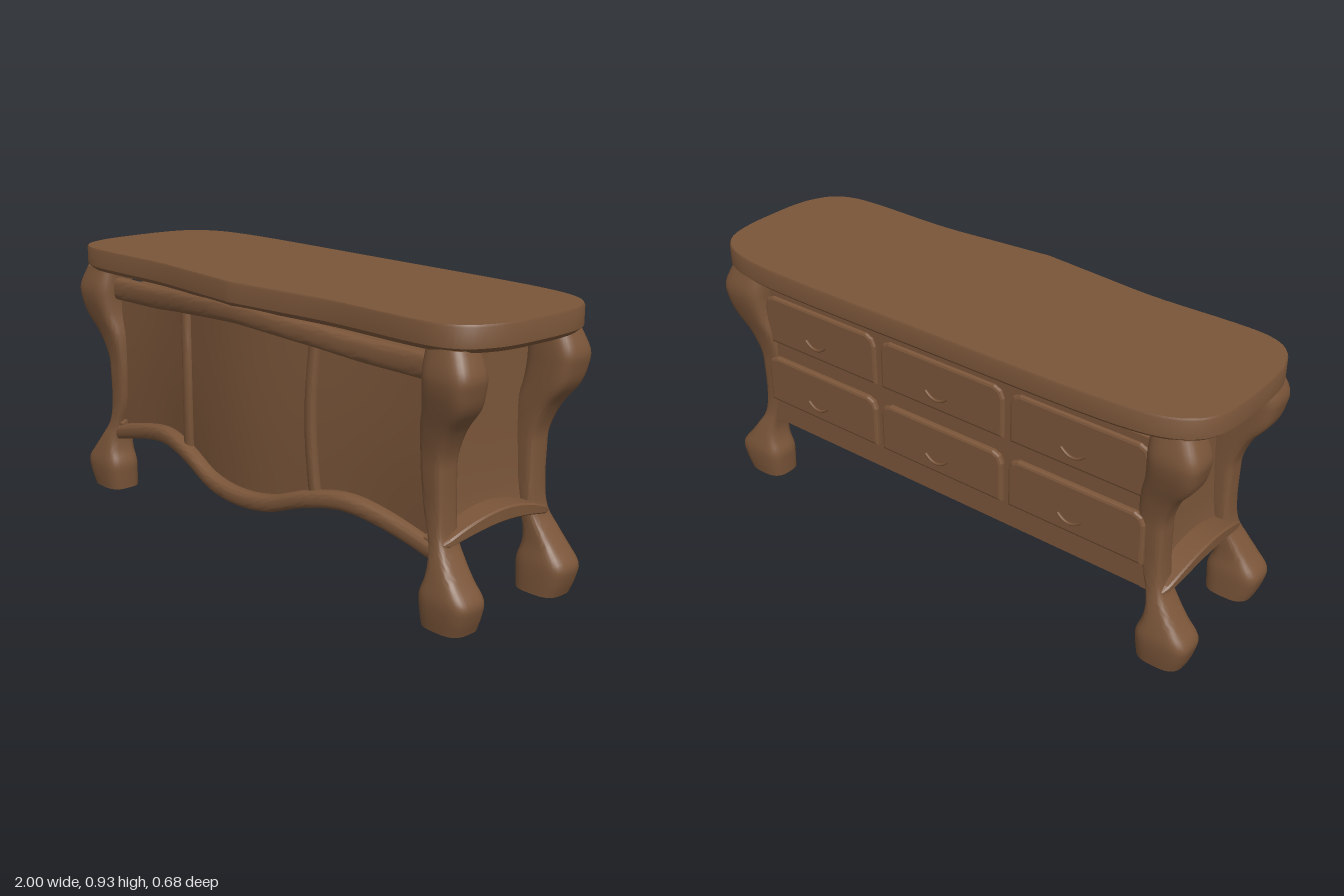
import * as THREE from 'three';
import { toCreasedNormals } from 'three/addons/utils/BufferGeometryUtils.js';

// Solid through a list of equal-length rings of [x, y, z], capped at both ends
function loft(rings, crease = 0.6) {
  const n = rings[0].length, pos = [];
  const tri = (a, b, c) => pos.push(...a, ...b, ...c);
  for (let i = 0; i < rings.length - 1; i++) {
    for (let j = 0; j < n; j++) {
      const k = (j + 1) % n, p = rings[i], q = rings[i + 1];
      tri(p[j], p[k], q[k]);
      tri(p[j], q[k], q[j]);
    }
  }
  const cap = (ring, flip) => {
    const c = [0, 1, 2].map(a => ring.reduce((s, p) => s + p[a], 0) / n);
    ring.forEach((p, j) => {
      const q = ring[(j + 1) % n];
      flip ? tri(c, q, p) : tri(c, p, q);
    });
  };
  cap(rings[0], true);
  cap(rings[rings.length - 1], false);
  // Turn the faces outward if the enclosed volume is negative
  const a = new THREE.Vector3(), b = new THREE.Vector3(), c = new THREE.Vector3();
  let volume = 0;
  for (let i = 0; i < pos.length; i += 9) {
    volume += a.fromArray(pos, i).dot(b.fromArray(pos, i + 3).cross(c.fromArray(pos, i + 6)));
  }
  if (volume < 0) {
    for (let i = 0; i < pos.length; i += 9) {
      for (let k = 3; k < 6; k++) [pos[i + k], pos[i + k + 3]] = [pos[i + k + 3], pos[i + k]];
    }
  }
  const g = new THREE.BufferGeometry();
  g.setAttribute('position', new THREE.Float32BufferAttribute(pos, 3));
  return toCreasedNormals(g, crease);
}

// Rounded-square section as [u, v] pairs
function roundSquare(hu, hv, power, count = 24) {
  return Array.from({ length: count }, (_, i) => {
    const t = (i / count) * Math.PI * 2, c = Math.cos(t), s = Math.sin(t);
    return [hu * Math.sign(c) * Math.abs(c) ** (2 / power), hv * Math.sign(s) * Math.abs(s) ** (2 / power)];
  });
}

const range = (a, b, n) => Array.from({ length: n + 1 }, (_, i) => a + (b - a) * i / n);
const bow = x => (1 + Math.cos(Math.PI * Math.min(Math.abs(x) / 0.8, 1))) / 2;

// Symmetric smooth curve through [x, y] points on the +x half
function wave(points) {
  const all = [...points.slice(1).reverse().map(([x, y]) => [-x, y]), ...points];
  return new THREE.SplineCurve(all.map(p => new THREE.Vector2(...p))).getPoints(60);
}

export function createModel() {
  const model = new THREE.Group();
  const wood = new THREE.MeshStandardMaterial({ color: 0x7a5539 });
  wood.name = 'brown wood';
  const add = (name, geometry, parent = model) => {
    const mesh = new THREE.Mesh(geometry, wood);
    mesh.name = name;
    parent.add(mesh);
    return mesh;
  };

  // Table top: rounded outline with a shallow point at the front centre
  const half = new THREE.SplineCurve([
    [0, 0.34], [0.22, 0.319], [0.45, 0.3], [0.74, 0.304], [0.87, 0.293], [0.945, 0.25], [0.985, 0.17], [0.998, 0.09],
    [1, 0], [0.998, -0.09], [0.985, -0.18], [0.95, -0.25], [0.87, -0.303], [0.74, -0.33], [0.5, -0.34], [0, -0.34],
  ].map(p => new THREE.Vector2(...p))).getPoints(64);
  const outline = [...half, ...half.slice(1, -1).reverse().map(p => new THREE.Vector2(-p.x, p.y))];
  add('tableTop', loft([[0.843, 0.015], [0.858, 0], [0.918, 0], [0.925, 0.003]].map(([y, inset]) =>
    outline.map(p => [p.x * (1 - inset), y, p.y * (1 - inset * 3)]))));

  // Legs: [y, outer x, inner x, outer z, inner z]
  const rows = [
    [0, 0.95, 0.79, 0.28, 0.15], [0.05, 0.968, 0.787, 0.287, 0.15], [0.1, 0.974, 0.787, 0.289, 0.152],
    [0.15, 0.935, 0.805, 0.279, 0.16], [0.2, 0.897, 0.811, 0.266, 0.162], [0.26, 0.86, 0.8, 0.25, 0.161],
    [0.34, 0.85, 0.775, 0.244, 0.16], [0.45, 0.848, 0.762, 0.248, 0.16], [0.52, 0.853, 0.76, 0.252, 0.16],
    [0.6, 0.888, 0.765, 0.266, 0.16], [0.67, 0.942, 0.783, 0.285, 0.16], [0.73, 0.962, 0.79, 0.299, 0.16],
    [0.78, 0.966, 0.79, 0.301, 0.16], [0.85, 0.935, 0.79, 0.284, 0.163],
  ];
  const sideX = new THREE.CatmullRomCurve3(rows.map(r => new THREE.Vector3(r[1], r[0], r[2])), false, 'catmullrom').getPoints(52);
  const sideZ = new THREE.CatmullRomCurve3(rows.map(r => new THREE.Vector3(r[3], r[0], r[4])), false, 'catmullrom').getPoints(52);
  for (const sx of [1, -1]) for (const sz of [1, -1]) {
    const name = (sz > 0 ? 'front' : 'back') + (sx > 0 ? 'Left' : 'Right') + 'Leg';
    add(name, loft(sideX.map((p, i) => {
      const q = sideZ[i], power = 3 + 1.4 * Math.sin(Math.PI * p.y / 0.85);
      return roundSquare((p.x - p.z) / 2, (q.x - q.z) / 2, power, 32)
        .map(([u, v]) => [sx * ((p.x + p.z) / 2 + u), p.y, sz * ((q.x + q.z) / 2 + v)]);
    }), 0.9));
  }

  // Wavy bottom apron and bowed top rail
  const apronLine = wave([[0, 0.195], [0.15, 0.21], [0.3, 0.26], [0.45, 0.287], [0.6, 0.271], [0.82, 0.22]]);
  const railLine = wave([[0, 0.819], [0.3, 0.803], [0.55, 0.781], [0.82, 0.773]]);
  const frontZ = x => 0.248 + 0.083 * bow(x);
  const band = (line, depth, height) => loft(line.map(p =>
    roundSquare(depth, height(p.x), 2.8).map(([u, v]) => [p.x, p.y + v, frontZ(p.x) - depth + u])), 0.9);
  add('bottomApron', band(apronLine, 0.03, () => 0.029));
  add('topRail', band(railLine, 0.026, x => 0.034 + 0.009 * Math.abs(x)));

  // Straight carcass, flaring a little towards its base
  add('carcass', loft([[0.25, 0.825], [0.3, 0.81], [0.36, 0.8], [0.5, 0.79], [0.79, 0.778]].map(([y, x]) => [
    [-x, y, -0.242], [x, y, -0.242], [x, y, 0.205], [-x, y, 0.205],
  ])));

  // Bowed front panel that follows the apron and rail
  const panelZ = x => 0.215 + 0.075 * bow(x) ** 1.4;
  const bulge = (x, t) => panelZ(x) + 0.008 * Math.sin(Math.PI * t);
  add('frontPanel', loft(apronLine.map((p, i) => {
    const y = t => p.y + (railLine[i].y - p.y) * t;
    return [...range(0, 1, 8).map(t => [p.x, y(t), bulge(p.x, t)]),
      [p.x, y(1), panelZ(p.x) - 0.02], [p.x, y(0), panelZ(p.x) - 0.02]];
  })));

  for (const s of [1, -1]) {
    // Upright bead dividing the front
    add('frontDivider', loft(range(0, 1, 16).map(t => {
      const x = s * (0.331 - 0.013 * Math.sin(Math.PI * t));
      return roundSquare(0.02, 0.019, 3, 16).map(([u, v]) => [x + u, 0.26 + 0.53 * t, bulge(x, t) + 0.003 + v]);
    }), 0.9));

    // Arched side stretcher, bowed outward, and the small rail under the top
    const side = s > 0 ? 'left' : 'right';
    add(side + 'Stretcher', loft(range(-0.237, 0.237, 24).map(z => {
      const k = Math.max(0, Math.cos(z / 0.237 * Math.PI / 2)), out = 0.862 + 0.026 * k ** 0.4;
      const low = 0.243 + 0.036 * k, high = 0.26 + 0.064 * k ** 0.8;
      return [[0.78, low], [out - 0.006, low], [out, low + 0.005], [out, high - 0.005], [out - 0.006, high], [0.78, high]]
        .map(([x, y]) => [s * x, y, z]);
    })));
    add(side + 'TopRail', loft(range(-0.19, 0.19, 16).map(z => {
      const low = 0.797 + 0.008 * Math.cos(z / 0.19 * Math.PI / 2);
      return [[0.8, low], [0.86, low], [0.86, 0.85], [0.8, 0.85]].map(([x, y]) => [s * x, y, z]);
    })));
  }

  // Back drawers: bevelled fronts with clipped upper corners and curved pulls
  const w = 0.246, h = 0.081, cut = 0.03;
  const face = new THREE.Shape([
    [-w, -h], [w, -h], [w, h - cut], [w - cut * 0.3, h - cut * 0.3], [w - cut, h],
    [-w + cut, h], [-w + cut * 0.3, h - cut * 0.3], [-w, h - cut],
  ].map(p => new THREE.Vector2(...p)));
  const drawerGeometry = new THREE.ExtrudeGeometry(face, {
    depth: 0.012, bevelEnabled: true, bevelThickness: 0.01, bevelSize: 0.01, bevelSegments: 2,
  });
  const pull = new THREE.QuadraticBezierCurve3(
    new THREE.Vector3(-0.045, 0.014, 0), new THREE.Vector3(0, -0.034, 0), new THREE.Vector3(0.045, 0.014, 0));
  const pullGeometry = new THREE.TubeGeometry(pull, 16, 0.005, 8);
  for (const [y, z] of [[0.435, -0.24], [0.675, -0.233]]) for (const x of [-0.538, 0, 0.538]) {
    const drawer = new THREE.Group();
    drawer.name = 'drawer';
    drawer.position.set(x, y, z);
    drawer.rotation.y = Math.PI;
    add('drawerFront', drawerGeometry, drawer);
    add('drawerPull', pullGeometry, drawer).position.set(0, -0.028, 0.039);
    model.add(drawer);
  }

  return model;
}
